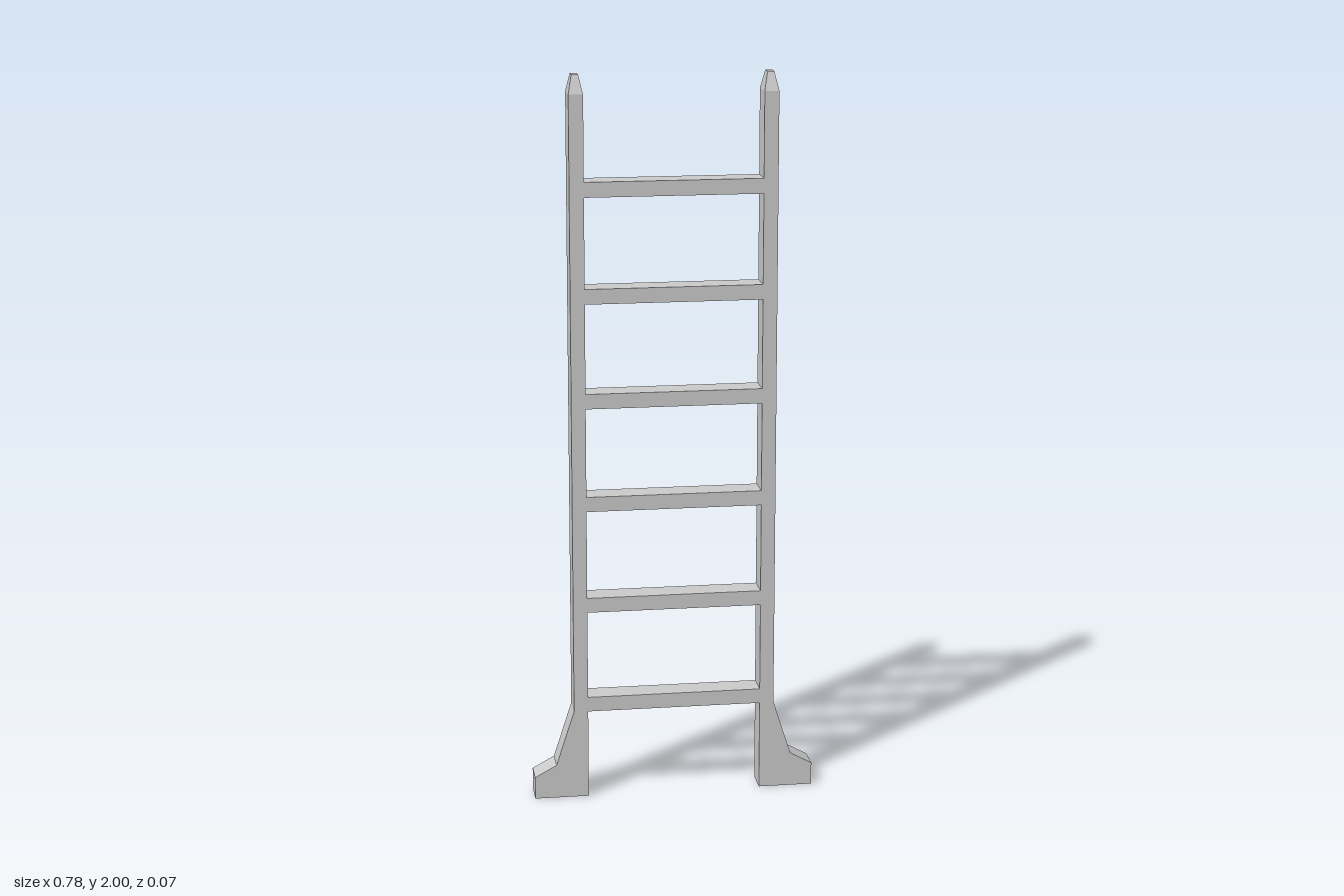
import * as THREE from 'three';

const DEPTH = 0.074;
const INNER = 0.24, OUTER = 0.279, SHOULDER = 1.95;

export function createModel() {
  const ladder = new THREE.Group();
  ladder.name = 'ladder';
  const material = new THREE.MeshStandardMaterial({ color: 0xcccccc, flatShading: true });

  const add = (parent, name, geometry) => {
    const mesh = new THREE.Mesh(geometry, material);
    mesh.name = name;
    parent.add(mesh);
    return mesh;
  };

  // Upright outline with its flared foot
  const outline = new THREE.Shape([
    [INNER, 0], [0.389, 0], [0.389, 0.062], [0.329, 0.095],
    [OUTER, 0.25], [OUTER, SHOULDER], [INNER, SHOULDER],
  ].map(([x, y]) => new THREE.Vector2(x, y)));
  const uprightGeometry = new THREE.ExtrudeGeometry(outline, { depth: DEPTH, bevelEnabled: false });
  uprightGeometry.translate(0, 0, -DEPTH / 2);

  // Tapered four-sided tip, unit square at its base
  const capHeight = 2 - SHOULDER;
  const capGeometry = new THREE.CylinderGeometry(0.46 * Math.SQRT1_2, Math.SQRT1_2, capHeight, 4);
  capGeometry.rotateY(Math.PI / 4);
  capGeometry.scale(OUTER - INNER, 1, DEPTH);
  capGeometry.translate((INNER + OUTER) / 2, SHOULDER + capHeight / 2, 0);

  // The right side is the left one turned half round
  for (const [name, turn] of [['left', 0], ['right', Math.PI]]) {
    const side = new THREE.Group();
    side.name = name + 'Side';
    side.rotation.y = turn;
    add(side, name + 'Upright', uprightGeometry);
    add(side, name + 'Cap', capGeometry);
    ladder.add(side);
  }

  // Evenly spaced rungs
  const rungGeometry = new THREE.BoxGeometry(2 * INNER, 0.041, DEPTH);
  for (let i = 0; i < 6; i++) {
    add(ladder, 'rung' + (i + 1), rungGeometry).position.y = 0.269 + i * 0.286;
  }

  return ladder;
}
